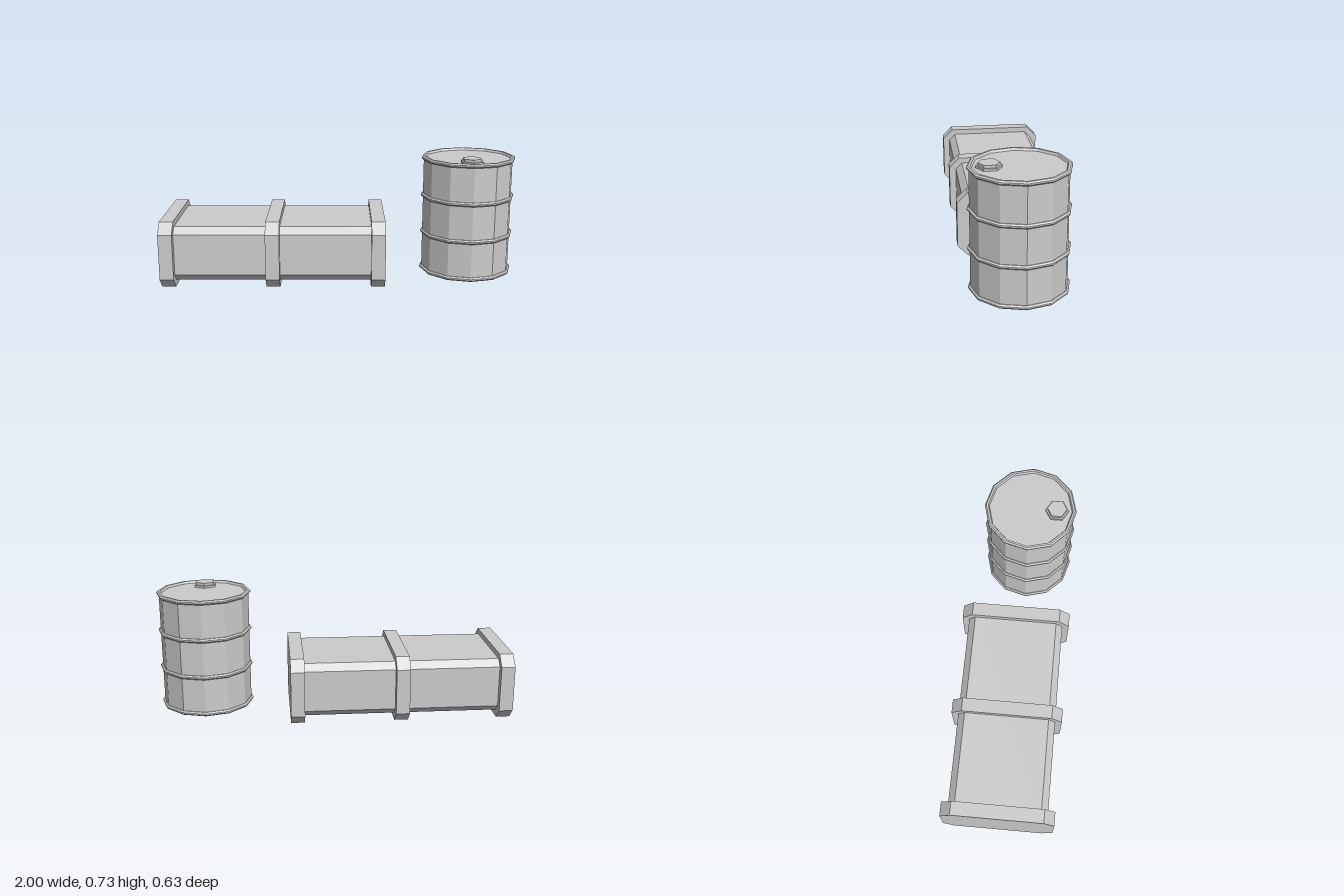
import * as THREE from 'three';

const material = new THREE.MeshStandardMaterial({ color: 0xcccccc, flatShading: true });

function addMesh(parent, name, geometry, x = 0, y = 0, z = 0) {
  const mesh = new THREE.Mesh(geometry, material);
  mesh.name = name;
  mesh.position.set(x, y, z);
  parent.add(mesh);
  return mesh;
}

// Chamfered rectangle (half width w, y0..y1) extruded along x
function octagonBar(w, y0, y1, c, length) {
  const shape = new THREE.Shape([
    [w - c, y0], [w, y0 + c], [w, y1 - c], [w - c, y1],
    [c - w, y1], [-w, y1 - c], [-w, y0 + c], [c - w, y0],
  ].map(([x, y]) => new THREE.Vector2(x, y)));
  return new THREE.ExtrudeGeometry(shape, { depth: length, bevelEnabled: false })
    .translate(0, 0, -length / 2)
    .rotateY(Math.PI / 2);
}

function createContainer() {
  const container = new THREE.Group();
  container.name = 'container';
  const centre = -0.3715;
  addMesh(container, 'containerBody', octagonBar(0.278, 0.038, 0.348, 0.038, 1.2), centre);
  // Two end bands and one middle band
  ['rightEndBand', 'middleBand', 'leftEndBand'].forEach((name, i) => {
    addMesh(container, name, octagonBar(0.317, 0, 0.38, 0.06, 0.078), centre + (i - 1) * 0.5895);
  });
  return container;
}

function createBarrel() {
  const barrel = new THREE.Group();
  barrel.name = 'barrel';
  const body = 0.253;

  // Profile from the bottom centre, over four raised hoops, to the recessed lid
  const profile = [[0, 0.041]];
  [0.0525, 0.2685, 0.4835, 0.6995].forEach((y, i) => {
    if (i > 0) profile.push([body, y - 0.0115]);
    profile.push([0.257, y - 0.0115], [0.265, y - 0.004], [0.265, y + 0.004], [0.257, y + 0.0115]);
    if (i < 3) profile.push([body, y + 0.0115]);
  });
  profile.push([0.245, 0.711], [0.239, 0.698], [0, 0.698]);
  const points = profile.map(([r, y]) => new THREE.Vector2(r, y));
  addMesh(barrel, 'drum', new THREE.LatheGeometry(points, 12));

  // Hexagonal filler cap on a wider flange
  addMesh(barrel, 'capFlange', new THREE.CylinderGeometry(0.067, 0.067, 0.012, 6), 0, 0.704, 0.152);
  addMesh(barrel, 'cap', new THREE.CylinderGeometry(0.056, 0.056, 0.025, 6), 0, 0.7125, 0.152);

  barrel.position.set(0.735, 0, 0.037);
  return barrel;
}

export function createModel() {
  const model = new THREE.Group();
  model.name = 'containerAndBarrel';
  model.add(createContainer(), createBarrel());
  return model;
}
